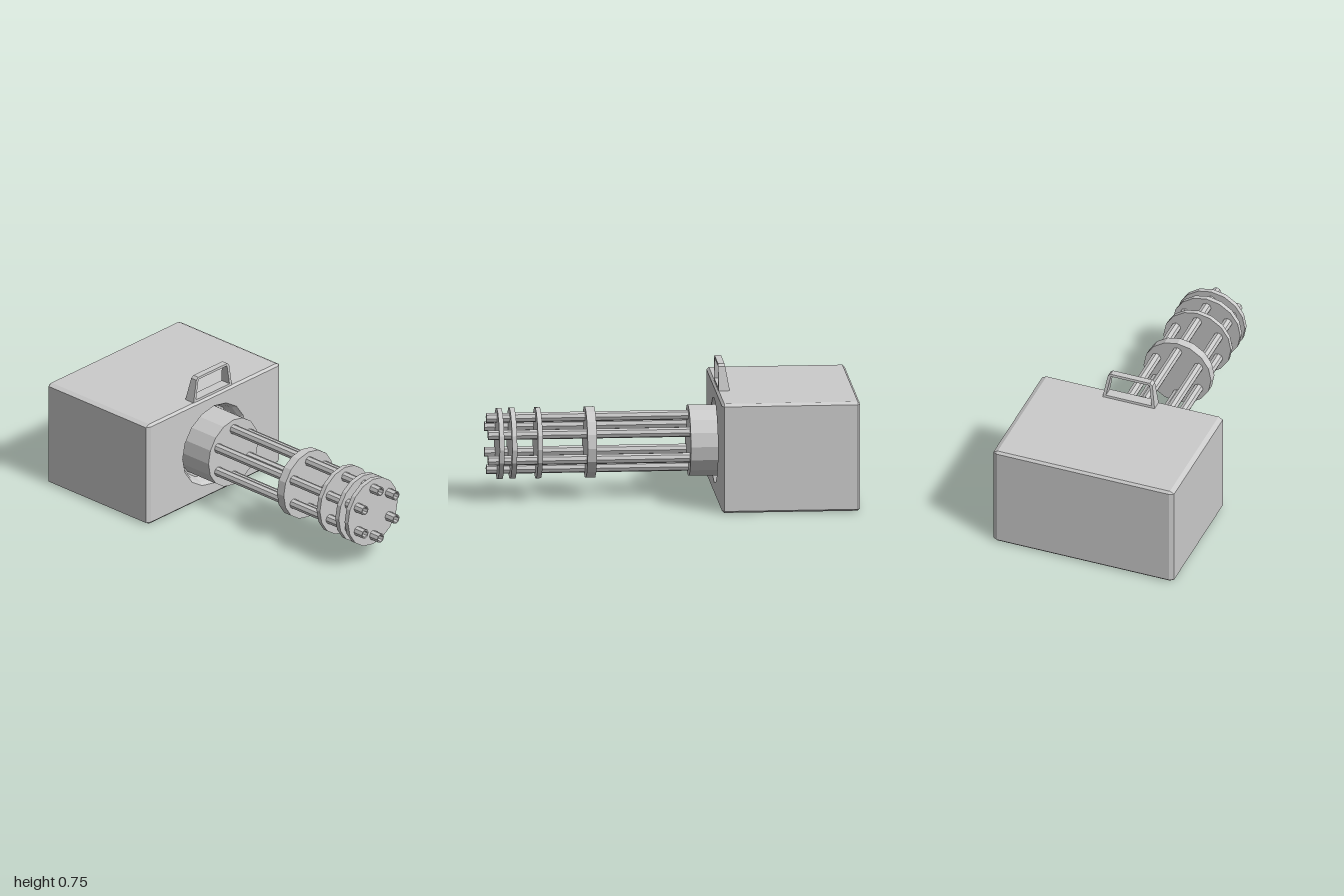
import * as THREE from 'three';
import { ConvexGeometry } from 'three/addons/geometries/ConvexGeometry.js';

const material = new THREE.MeshStandardMaterial({ color: 0xcccccc, flatShading: true });
const AXIS_Y = 0.304;

function addMesh(parent, name, geometry, x = 0, y = 0, z = 0) {
  const mesh = new THREE.Mesh(geometry, material);
  mesh.name = name;
  mesh.position.set(x, y, z);
  parent.add(mesh);
  return mesh;
}

// Counter-clockwise outlines
const ellipse = (rx, ry, n) => Array.from({ length: n }, (_, i) => {
  const a = (i / n) * Math.PI * 2;
  return new THREE.Vector2(rx * Math.cos(a), ry * Math.sin(a));
});
const rect = (w, h) => [[-w, -h], [w, -h], [w, h], [-w, h]].map(([x, y]) => new THREE.Vector2(x, y));

// Stepped hollow facing +z: rings of { points, z } from rim to floor
function hollowGeometry(rings) {
  const pos = [];
  const n = rings[0].points.length;
  const put = (r, i) => pos.push(r.points[i % n].x, r.points[i % n].y, r.z);
  for (let k = 0; k < rings.length - 1; k++) {
    const a = rings[k], b = rings[k + 1];
    for (let i = 0; i < n; i++) {
      put(a, i); put(a, i + 1); put(b, i + 1);
      put(a, i); put(b, i + 1); put(b, i);
    }
  }
  const floor = rings[rings.length - 1];
  for (let i = 0; i < n; i++) {
    put(floor, i); put(floor, i + 1);
    pos.push(0, 0, floor.z);
  }
  const g = new THREE.BufferGeometry();
  g.setAttribute('position', new THREE.Float32BufferAttribute(pos, 3));
  g.computeVertexNormals();
  return g;
}

// Flat panel with a hollow sunk into it
function recessedPanel(name, w, h, rings) {
  const group = new THREE.Group();
  group.name = name;
  const shape = new THREE.Shape(rect(w, h));
  shape.holes.push(new THREE.Path(rings[0].points.slice().reverse()));
  addMesh(group, name + 'Face', new THREE.ShapeGeometry(shape));
  addMesh(group, name + 'Hollow', hollowGeometry(rings));
  return group;
}

// Chamfered box, left open at the front and underneath
function shellGeometry(w, h, d, cx, cy, cz) {
  const pts = [];
  for (const x of [-1, 1]) for (const y of [-1, 1]) for (const z of [-1, 1]) {
    pts.push(new THREE.Vector3(x * w, y * (h - cy), z * (d - cz)));
    pts.push(new THREE.Vector3(x * (w - cx), y * h, z * (d - cz)));
    pts.push(new THREE.Vector3(x * (w - cx), y * (h - cy), z * d));
  }
  const hull = new ConvexGeometry(pts);
  const p = hull.attributes.position, nrm = hull.attributes.normal;
  const keep = [];
  for (let i = 0; i < p.count; i += 3) {
    if (nrm.getZ(i) > 0.99 || nrm.getY(i) < -0.99) continue;
    for (let j = i; j < i + 3; j++) keep.push(p.getX(j), p.getY(j), p.getZ(j));
  }
  const g = new THREE.BufferGeometry();
  g.setAttribute('position', new THREE.Float32BufferAttribute(keep, 3));
  g.computeVertexNormals();
  return g;
}

// Cylinder lying along z between two depths
function drum(r, z0, z1, sides) {
  return new THREE.CylinderGeometry(r, r, z1 - z0, sides)
    .rotateX(Math.PI / 2).translate(0, 0, (z0 + z1) / 2);
}

// Carrying handle: trapezoid frame that gets deeper towards its base
function handleGeometry() {
  const shape = new THREE.Shape([[-0.152, 0], [0.152, 0], [0.13, 0.132], [0.115, 0.145],
    [-0.115, 0.145], [-0.13, 0.132]].map(([x, y]) => new THREE.Vector2(x, y)));
  shape.holes.push(new THREE.Path([[-0.133, 0.014], [-0.113, 0.131], [0.113, 0.131], [0.133, 0.014]]
    .map(([x, y]) => new THREE.Vector2(x, y))));
  const g = new THREE.ExtrudeGeometry(shape, { depth: 1, bevelEnabled: false });
  const p = g.attributes.position;
  for (let i = 0; i < p.count; i++) {
    const depth = THREE.MathUtils.lerp(0.062, 0.036, p.getY(i) / 0.145);
    p.setZ(i, (p.getZ(i) - 1) * depth);
  }
  g.computeVertexNormals();
  return g;
}

export function createModel() {
  const model = new THREE.Group();
  model.name = 'rotaryGun';

  // Housing
  const W = 0.528, H = 0.303, D = 0.3775, CX = 0.025, CY = 0.013, CZ = 0.013;
  const housing = new THREE.Group();
  housing.name = 'housing';
  housing.position.set(0, H, -1 + D);
  model.add(housing);
  addMesh(housing, 'shell', shellGeometry(W, H, D, CX, CY, CZ));

  const front = recessedPanel('frontSocket', W - CX, H - CY, [
    { points: ellipse(0.25, 0.235, 16), z: 0 },
    { points: ellipse(0.23, 0.222, 16), z: -0.02 },
    { points: ellipse(0.202, 0.21, 16), z: -0.07 },
  ]);
  front.position.z = D;
  housing.add(front);

  const base = recessedPanel('baseRecess', W - CX, D - CZ, [
    { points: rect(W - 0.085, D - 0.075), z: 0 },
    { points: rect(W - 0.105, D - 0.095), z: -0.05 },
  ]);
  base.rotation.x = Math.PI / 2;
  base.position.y = -H;
  housing.add(base);

  addMesh(model, 'handle', handleGeometry(), 0, 0.605, -0.256);

  // Barrel cluster
  const cluster = new THREE.Group();
  cluster.name = 'barrelCluster';
  cluster.position.y = AXIS_Y;
  model.add(cluster);
  addMesh(cluster, 'hub', drum(0.197, -0.32, -0.102, 16));
  for (const [z0, z1] of [[0.41, 0.461], [0.706, 0.732], [0.846, 0.873], [0.916, 0.942]]) {
    addMesh(cluster, 'clampDisc', drum(0.197, z0, z1, 16));
  }

  // Six barrels with bored muzzles
  const profile = [[0.027, -0.12], [0.027, 1], [0.02, 1], [0.02, 0.9], [0, 0.9]]
    .map(([r, z]) => new THREE.Vector2(r, z));
  const barrel = new THREE.LatheGeometry(profile, 8).rotateX(Math.PI / 2);
  for (let i = 0; i < 6; i++) {
    const a = Math.PI / 2 + (i * Math.PI) / 3;
    addMesh(cluster, 'barrel', barrel, 0.142 * Math.cos(a), 0.142 * Math.sin(a), 0);
  }
  return model;
}
